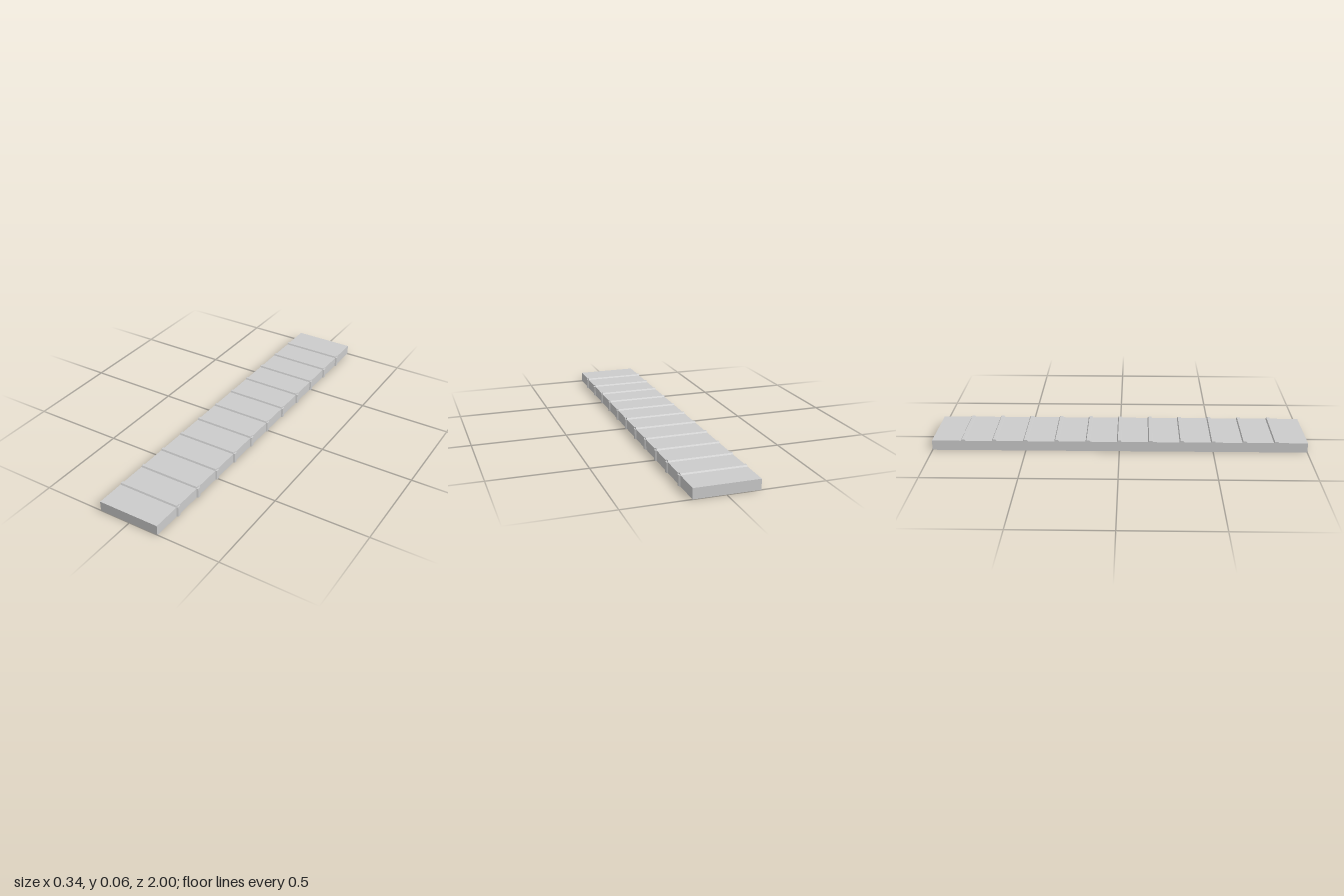
import * as THREE from 'three';

const LEFT = 0.163, RIGHT = -0.17, TOP = 0.054, RIB = 0.0075;

export function createModel() {
  const group = new THREE.Group();
  const material = new THREE.MeshStandardMaterial({ color: 0xcccccc, flatShading: true });

  // Long flat plank
  const width = LEFT - RIGHT;
  const plank = new THREE.Mesh(new THREE.BoxGeometry(width, TOP, 2), material);
  plank.name = 'plank';
  plank.position.set((LEFT + RIGHT) / 2, TOP / 2, 0);
  group.add(plank);

  // Chamfered rib section, standing on its base
  const profile = new THREE.Shape([
    new THREE.Vector2(-0.013, 0),
    new THREE.Vector2(0.013, 0),
    new THREE.Vector2(0.008, RIB),
    new THREE.Vector2(-0.008, RIB),
  ]);
  const ribGeometry = (length) =>
    new THREE.ExtrudeGeometry(profile, { depth: length, bevelEnabled: false });

  // Rib lying across the top face
  const topRib = ribGeometry(width).rotateY(Math.PI / 2).translate(RIGHT, TOP, 0);
  // Rib standing on the left edge
  const sideRib = ribGeometry(TOP)
    .rotateZ(-Math.PI / 2).rotateX(-Math.PI / 2).translate(LEFT, 0, 0);

  // Evenly spaced pairs of ribs
  for (let i = -5; i <= 5; i++) {
    for (const [name, geometry] of [['topRib', topRib], ['sideRib', sideRib]]) {
      const rib = new THREE.Mesh(geometry, material);
      rib.name = name;
      rib.position.z = i / 6;
      group.add(rib);
    }
  }
  return group;
}
